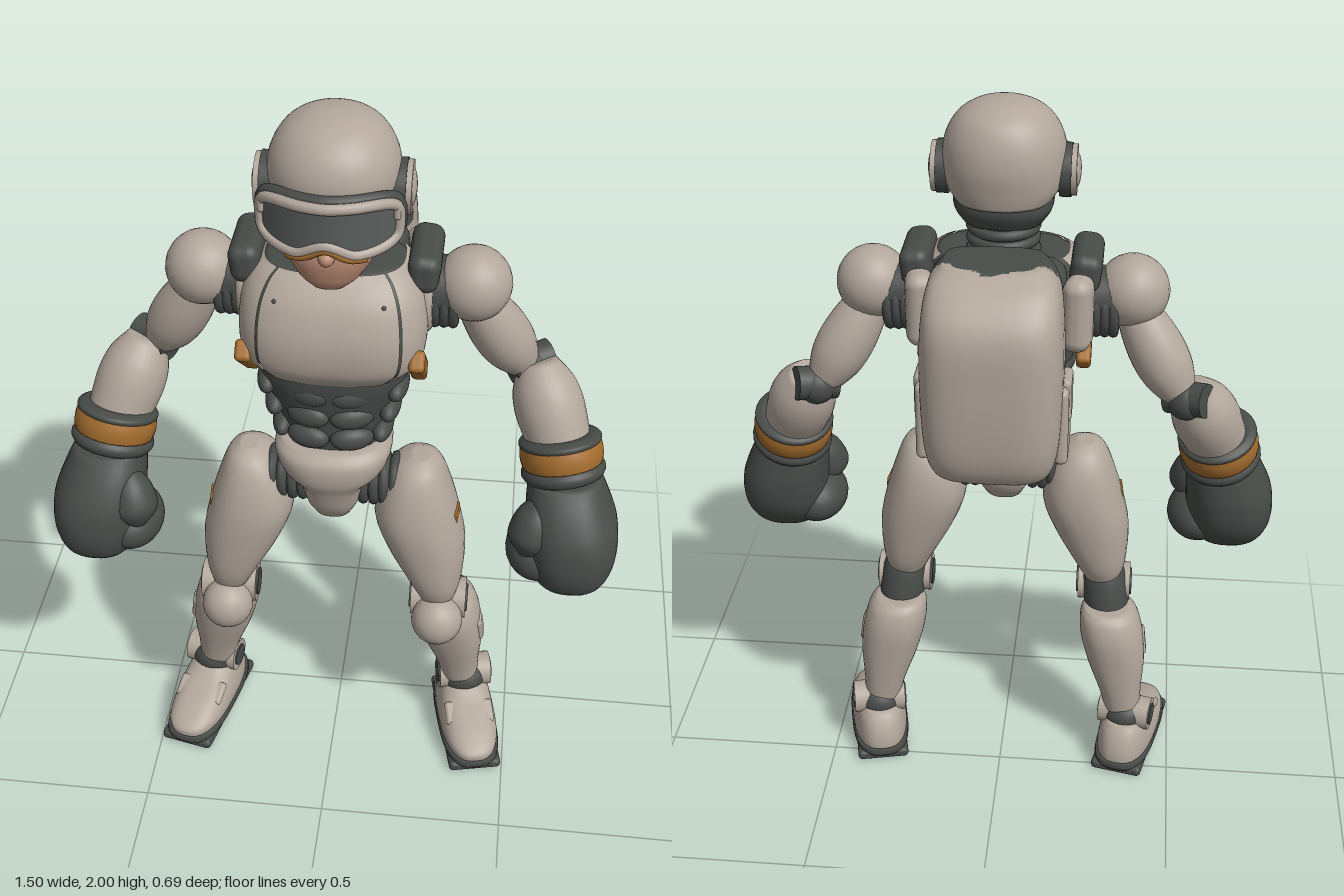
import * as THREE from 'three';
import { RoundedBoxGeometry } from 'three/addons/geometries/RoundedBoxGeometry.js';

const mat = (name, color) => {
  const m = new THREE.MeshStandardMaterial({ color, side: THREE.DoubleSide });
  m.name = name;
  return m;
};
const shell = mat('warm grey shell', 0xb3a79c);
const dark = mat('dark rubber', 0x484c49);
const ochre = mat('ochre trim', 0xa26c2e);
const skin = mat('skin', 0xba8a74);
const glass = mat('smoked lens', 0x5a5e5c);
const V = (x, y, z) => new THREE.Vector3(x, y, z);

export function createModel() {
  const model = new THREE.Group();
  model.name = 'armouredBoxer';
  const left = new THREE.Group();
  left.name = 'leftSide';

  const add = (parent, name, geo, material, pos = [0, 0, 0], rot = [0, 0, 0]) => {
    const m = new THREE.Mesh(geo, material);
    m.name = name;
    m.position.set(...pos);
    m.rotation.set(...rot);
    parent.add(m);
    return m;
  };
  const ball = (parent, name, material, pos, r, rot) => {
    const g = new THREE.SphereGeometry(1, 24, 16);
    g.scale(...(Array.isArray(r) ? r : [r, r, r]));
    return add(parent, name, g, material, pos, rot);
  };
  const box = (parent, name, material, size, pos, rot, r = 0.02) =>
    add(parent, name, new RoundedBoxGeometry(...size, 3, Math.min(r, Math.min(...size) / 2.01)), material, pos, rot);
  // disc or drum lying along x
  const drum = (parent, name, material, r, len, pos) =>
    add(parent, name, new THREE.CylinderGeometry(r, r, len, 32), material, pos, [0, 0, Math.PI / 2]);

  // Skin over horizontal super-ellipse sections [y, cx, cz, rx, rz]; arc gives an open panel
  const loft = (sections, { n = 2.3, seg = 36, steps = 20, arc = null, grow = 0 } = {}) => {
    const c = new THREE.CatmullRomCurve3(sections.map(s => V(s[1], s[0], s[2])), false, 'catmullrom');
    const r = new THREE.CatmullRomCurve3(sections.map(s => V(s[3], s[4], 0)), false, 'catmullrom');
    const rows = [];
    for (let j = 0; j <= steps; j++) rows.push([j / steps, 1]);
    if (!arc) for (const k of [0.85, 0.45, 0]) { rows.unshift([0, k]); rows.push([1, k]); }
    const [a0, a1] = arc || [0, Math.PI * 2], cols = arc ? seg + 1 : seg;
    const pos = [], idx = [];
    const pw = v => Math.sign(v) * Math.abs(v) ** (2 / n);
    for (const [t, k] of rows) {
      const p = c.getPoint(t), q = r.getPoint(t);
      for (let i = 0; i < cols; i++) {
        const a = a0 + (a1 - a0) * i / seg;
        pos.push(p.x + (q.x + grow) * k * pw(Math.sin(a)), p.y, p.z + (q.y + grow) * k * pw(Math.cos(a)));
      }
    }
    for (let j = 0; j < rows.length - 1; j++) for (let i = 0; i < seg; i++) {
      const i2 = (i + 1) % cols, A = j * cols + i, B = j * cols + i2;
      idx.push(A, B, B + cols, A, B + cols, A + cols);
    }
    const g = new THREE.BufferGeometry();
    g.setAttribute('position', new THREE.Float32BufferAttribute(pos, 3));
    g.setIndex(idx);
    g.computeVertexNormals();
    return g;
  };
  // Turned limb from a to b with evenly spaced radii
  const limb = (parent, name, material, a, b, radii) => {
    const L = a.distanceTo(b);
    const pts = new THREE.SplineCurve(radii.map((r, i) => new THREE.Vector2(r, L * i / (radii.length - 1)))).getPoints(12);
    const m = add(parent, name, new THREE.LatheGeometry([new THREE.Vector2(0, 0), ...pts, new THREE.Vector2(0, L)], 28), material, a.toArray());
    m.quaternion.setFromUnitVectors(V(0, 1, 0), b.clone().sub(a).normalize());
    return m;
  };
  const tube = (parent, name, material, pts, r, closed = false) =>
    add(parent, name, new THREE.TubeGeometry(new THREE.CatmullRomCurve3(pts, closed), closed ? 80 : 24, r, 8, closed), material);

  // Head
  add(model, 'helmet', loft([[1.75, 0, 0.1, 0.12, 0.1], [1.79, 0, 0.12, 0.147, 0.13], [1.85, 0, 0.136, 0.157, 0.155],
    [1.91, 0, 0.137, 0.147, 0.148], [1.96, 0, 0.133, 0.115, 0.118], [1.99, 0, 0.13, 0.065, 0.066], [2, 0, 0.13, 0.01, 0.01]],
  { n: 2.1, seg: 48, steps: 28 }), shell);
  add(model, 'helmetLiner', loft([[1.69, 0, 0.11, 0.1, 0.08], [1.73, 0, 0.11, 0.125, 0.1], [1.78, 0, 0.13, 0.13, 0.12]]), dark);
  add(model, 'face', loft([[1.61, 0, 0.25, 0.04, 0.03], [1.64, 0, 0.22, 0.08, 0.075], [1.7, 0, 0.195, 0.115, 0.11], [1.78, 0, 0.17, 0.125, 0.115]]), skin);
  ball(model, 'nose', skin, [0, 1.712, 0.305], [0.02, 0.02, 0.025]);
  box(model, 'mouth', dark, [0.05, 0.005, 0.008], [0, 1.662, 0.293], [0, 0, 0], 0.002);

  // Goggles wrap backwards towards the sides
  const gog = (x, v, s = 1, dz = 0) => V(x, 1.787 + v * s * 0.062 * Math.max(0, 1 - (x / (0.16 * s)) ** 4) ** 0.25
    + Math.max(0, -v) * 0.03 * Math.exp(-((x / 0.04) ** 2)), 0.325 - 3.3 * x * x + dz);
  const ring = (s, dz) => Array.from({ length: 40 }, (_, i) => {
    const a = i / 40 * Math.PI * 2, cx = Math.cos(a);
    return gog(0.16 * s * Math.sign(cx) * Math.abs(cx) ** 0.5, Math.sign(Math.sin(a)) || 1, s, dz);
  });
  const lens = new THREE.PlaneGeometry(2, 2, 40, 10), lp = lens.attributes.position;
  for (let i = 0; i < lp.count; i++) lp.setXYZ(i, ...gog(lp.getX(i) * 0.16, lp.getY(i), 1, 0.004).toArray());
  lens.computeVertexNormals();
  add(model, 'goggleLens', lens, glass);
  tube(model, 'goggleFrame', shell, ring(1, 0), 0.014, true);
  tube(model, 'goggleSeal', dark, ring(0.98, -0.028), 0.02, true);
  tube(model, 'goggleTrim', ochre, Array.from({ length: 15 }, (_, i) => gog((i - 7) * 0.013, -1, 1.16, 0.002)), 0.011);

  // Neck
  add(model, 'neck', new THREE.CylinderGeometry(0.075, 0.09, 0.2, 32), dark, [0, 1.63, 0.11]);
  for (let i = 0; i < 4; i++) add(model, 'neckRib', new THREE.TorusGeometry(0.082, 0.014, 8, 32), dark, [0, 1.585 + i * 0.03, 0.11], [Math.PI / 2, 0, 0]);

  // Chest: dark core with separate shell panels
  const chest = [[1.33, 0, 0.17, 0.17, 0.1], [1.38, 0, 0.165, 0.213, 0.132], [1.46, 0, 0.155, 0.222, 0.147],
    [1.54, 0, 0.14, 0.212, 0.138], [1.59, 0, 0.125, 0.188, 0.118], [1.615, 0, 0.115, 0.16, 0.1]];
  add(model, 'chestCore', loft(chest, { n: 2.8 }), dark);
  add(model, 'breastplate', loft(chest, { n: 2.8, arc: [-0.72, 0.72], grow: 0.009 }), shell);
  add(left, 'ribPanel', loft(chest, { n: 2.8, arc: [0.76, 2.1], grow: 0.009 }), shell);
  box(model, 'backPanel', dark, [0.34, 0.36, 0.12], [0, 1.45, 0.0], [0, 0, 0], 0.05);
  box(left, 'sideBelt', ochre, [0.04, 0.055, 0.2], [0.212, 1.345, 0.19], [-0.72, 0, 0], 0.012);
  box(left, 'collarBlock', dark, [0.08, 0.1, 0.2], [0.215, 1.592, 0.085], [0, 0, -0.12], 0.03);
  box(left, 'shoulderBlade', shell, [0.075, 0.2, 0.09], [0.2, 1.5, -0.03], [0, 0.2, 0], 0.034);
  ball(left, 'chestRivet', dark, [0.13, 1.555, 0.262], 0.006);

  // Abdomen with muscle ridges
  add(model, 'abdomen', loft([[1.07, 0, 0.15, 0.12, 0.1], [1.14, 0, 0.15, 0.13, 0.108], [1.22, 0, 0.15, 0.155, 0.115],
    [1.3, 0, 0.155, 0.185, 0.122], [1.37, 0, 0.16, 0.185, 0.12]]), dark);
  for (let i = 0; i < 3; i++) {
    ball(left, 'abdomenRidge', dark, [0.055, 1.15 + i * 0.065, 0.25], [0.056, 0.033, 0.03 - i * 0.002], [0, 0.3, 0]);
    ball(left, 'waistRidge', dark, [0.125 + i * 0.018, 1.15 + i * 0.065, 0.17], [0.03, 0.033, 0.08]);
  }

  // Pelvis
  add(model, 'pelvis', loft([[0.86, 0, 0.165, 0.05, 0.06], [0.91, 0, 0.16, 0.073, 0.1], [0.98, 0, 0.16, 0.092, 0.125],
    [1.025, 0, 0.16, 0.135, 0.142], [1.08, 0, 0.16, 0.152, 0.142], [1.11, 0, 0.155, 0.135, 0.12]], { n: 2.5 }), shell);
  drum(left, 'hipJoint', dark, 0.06, 0.15, [0.13, 0.95, 0.155]);
  for (let i = 0; i < 4; i++) add(left, 'hipRib', new THREE.TorusGeometry(0.06, 0.014, 8, 28), dark, [0.08 + i * 0.027, 0.95, 0.155], [0, Math.PI / 2, 0]);

  // Backpack with dark cap on the upper front
  const pack = loft([[1.132, 0, -0.18, 0.11, 0.075], [1.155, 0, -0.185, 0.15, 0.118], [1.24, 0, -0.2, 0.17, 0.135],
    [1.42, 0, -0.196, 0.177, 0.15], [1.56, 0, -0.188, 0.172, 0.15], [1.64, 0, -0.16, 0.158, 0.122], [1.682, 0, -0.13, 0.125, 0.08]],
  { n: 3.6, seg: 96, steps: 48 });
  const pp = pack.attributes.position, light = [], cap = [], ix = pack.index.array;
  for (let i = 0; i < ix.length; i += 3) {
    const f = [ix[i], ix[i + 1], ix[i + 2]];
    const mean = k => f.reduce((s, v) => s + pp.getComponent(v, k), 0) / 3;
    (mean(1) > 1.57 && mean(2) > -0.225 + 0.55 * Math.abs(mean(0)) ? cap : light).push(...f);
  }
  pack.setIndex([...light, ...cap]);
  pack.addGroup(0, light.length, 0);
  pack.addGroup(light.length, cap.length, 1);
  add(model, 'backpack', pack, [shell, dark]);
  box(model, 'backpackMount', dark, [0.3, 0.4, 0.06], [0, 1.42, -0.05]);
  box(left, 'backpackPouch', shell, [0.035, 0.21, 0.15], [0.174, 1.28, -0.165], [0, 0, 0], 0.016);
  box(left, 'pouchFlap', shell, [0.03, 0.12, 0.09], [0.182, 1.34, -0.165], [0, 0, 0], 0.014);

  // Ear cups
  drum(left, 'earCupRim', dark, 0.068, 0.03, [0.155, 1.815, 0.14]);
  drum(left, 'earCup', shell, 0.064, 0.04, [0.163, 1.815, 0.14]);
  ball(left, 'earCupDome', shell, [0.18, 1.815, 0.14], [0.013, 0.045, 0.045]);
  box(left, 'goggleArm', shell, [0.016, 0.035, 0.09], [0.16, 1.81, 0.215], [0, -0.1, 0], 0.007);

  // Shoulder and arm
  drum(left, 'shoulderJoint', dark, 0.078, 0.16, [0.22, 1.505, 0.072]);
  add(left, 'shoulderRing', new THREE.TorusGeometry(0.095, 0.018, 10, 36), shell, [0.222, 1.5, 0.07], [0, Math.PI / 2, 0]);
  for (let i = 0; i < 3; i++) add(left, 'shoulderRib', new THREE.TorusGeometry(0.07, 0.014, 8, 28), dark, [0.245 + i * 0.022, 1.48, 0.07], [0, Math.PI / 2, 0]);
  ball(left, 'shoulderBall', shell, [0.335, 1.522, 0.076], 0.095);
  limb(left, 'upperArm', shell, V(0.345, 1.47, 0.07), V(0.47, 1.255, 0.02), [0.055, 0.068, 0.074, 0.068, 0.045]);
  ball(left, 'elbow', dark, [0.487, 1.245, 0.01], 0.053);
  const cuffDir = V(0.035, -0.18, 0.06).normalize();
  add(left, 'elbowDisc', new THREE.CylinderGeometry(0.045, 0.045, 0.11, 28), dark, [0.49, 1.25, 0.01], [0.3, 0.5, Math.PI / 2]);
  limb(left, 'forearm', shell, V(0.505, 1.265, 0.025), V(0.583, 1.065, 0.118), [0.05, 0.08, 0.09, 0.087, 0.08]);
  const wrist = V(0.578, 1.095, 0.113);
  const at = d => wrist.clone().addScaledVector(cuffDir, d);
  limb(left, 'cuffRimTop', dark, at(-0.008), at(0.02), [0.088, 0.105, 0.107, 0.1]);
  limb(left, 'cuffBand', ochre, at(0.014), at(0.072), [0.104, 0.108, 0.108, 0.104]);
  limb(left, 'cuffRimBottom', dark, at(0.07), at(0.11), [0.1, 0.109, 0.109, 0.1]);
  // Boxing glove
  add(left, 'glove', loft([[0.703, 0.63, 0.22, 0.055, 0.06], [0.735, 0.633, 0.215, 0.095, 0.105], [0.8, 0.632, 0.2, 0.118, 0.138],
    [0.88, 0.627, 0.187, 0.12, 0.142], [0.95, 0.612, 0.17, 0.108, 0.122], [1.01, 0.6, 0.15, 0.09, 0.095]], { n: 2.4 }), dark);
  limb(left, 'gloveThumb', dark, V(0.545, 0.97, 0.215), V(0.515, 0.815, 0.265), [0.02, 0.05, 0.062, 0.06, 0.02]);
  ball(left, 'gloveFingers', dark, [0.545, 0.79, 0.2], [0.085, 0.075, 0.11]);

  // Thigh and knee
  add(left, 'thigh', loft([[0.585, 0.285, 0.168, 0.052, 0.075], [0.65, 0.275, 0.165, 0.075, 0.1], [0.76, 0.247, 0.16, 0.106, 0.115],
    [0.86, 0.22, 0.155, 0.112, 0.12], [0.95, 0.215, 0.15, 0.09, 0.105], [1.01, 0.22, 0.15, 0.06, 0.075], [1.035, 0.225, 0.15, 0.025, 0.035]]), shell);
  box(left, 'thighTag', ochre, [0.008, 0.03, 0.055], [0.328, 0.865, 0.175], [0, -0.1, 0.1], 0.003);
  limb(left, 'kneeCore', dark, V(0.285, 0.63, 0.155), V(0.305, 0.46, 0.115), [0.05, 0.062, 0.064, 0.062, 0.055]);
  ball(left, 'kneecap', shell, [0.29, 0.528, 0.238], [0.07, 0.072, 0.068]);
  drum(left, 'kneeDisc', shell, 0.056, 0.15, [0.29, 0.553, 0.17]);
  drum(left, 'kneeHub', dark, 0.038, 0.16, [0.29, 0.553, 0.17]);

  // Shin and ankle
  add(left, 'shin', loft([[0.165, 0.36, 0.075, 0.052, 0.055], [0.24, 0.35, 0.08, 0.062, 0.068], [0.34, 0.334, 0.09, 0.083, 0.087],
    [0.43, 0.318, 0.098, 0.09, 0.1], [0.49, 0.308, 0.102, 0.082, 0.092], [0.515, 0.303, 0.102, 0.065, 0.07]]), shell);
  box(left, 'shinPad', shell, [0.02, 0.08, 0.05], [0.408, 0.39, 0.11], [0.2, 0, 0.12], 0.01);
  ball(left, 'ankle', dark, [0.37, 0.155, 0.07], [0.068, 0.055, 0.068]);

  // Boot turned outwards
  const foot = new THREE.Group();
  foot.name = 'foot';
  foot.position.set(0.386, 0, 0.135);
  foot.rotation.y = 0.22;
  left.add(foot);
  add(foot, 'sole', loft([[0.018, 0, 0, 0.08, 0.185], [0.03, 0, 0, 0.085, 0.192], [0.046, 0, 0, 0.083, 0.19]], { n: 3, steps: 6 }), dark);
  box(foot, 'toeTread', dark, [0.15, 0.03, 0.19], [0, 0.015, 0.085], [0, 0, 0], 0.012);
  box(foot, 'heelTread', dark, [0.15, 0.03, 0.13], [0, 0.015, -0.115], [0, 0, 0], 0.012);
  add(foot, 'boot', loft([[0.044, 0, 0, 0.081, 0.186], [0.07, 0, -0.002, 0.081, 0.182], [0.1, 0, -0.028, 0.075, 0.148],
    [0.128, 0, -0.062, 0.065, 0.1], [0.15, 0, -0.075, 0.05, 0.07]], { n: 2.6 }), shell);
  box(foot, 'instepStrap', shell, [0.14, 0.022, 0.07], [0, 0.104, 0.05], [0.42, 0, 0], 0.01);
  drum(foot, 'ankleDisc', shell, 0.048, 0.15, [0, 0.16, -0.07]);
  drum(foot, 'ankleHub', dark, 0.032, 0.158, [0, 0.16, -0.07]);

  // Mirror every left part to the right
  const right = new THREE.Group();
  right.name = 'rightSide';
  left.updateMatrixWorld(true);
  left.traverse(o => {
    if (!o.isMesh) return;
    const g = o.geometry.clone().applyMatrix4(o.matrixWorld).scale(-1, 1, 1);
    const src = g.index ? Array.from(g.index.array) : Array.from({ length: g.attributes.position.count }, (_, i) => i);
    for (let i = 0; i < src.length; i += 3) [src[i], src[i + 1]] = [src[i + 1], src[i]];
    g.setIndex(src);
    g.clearGroups();
    add(right, o.name, g, o.material);
  });
  model.add(left, right);
  return model;
}
